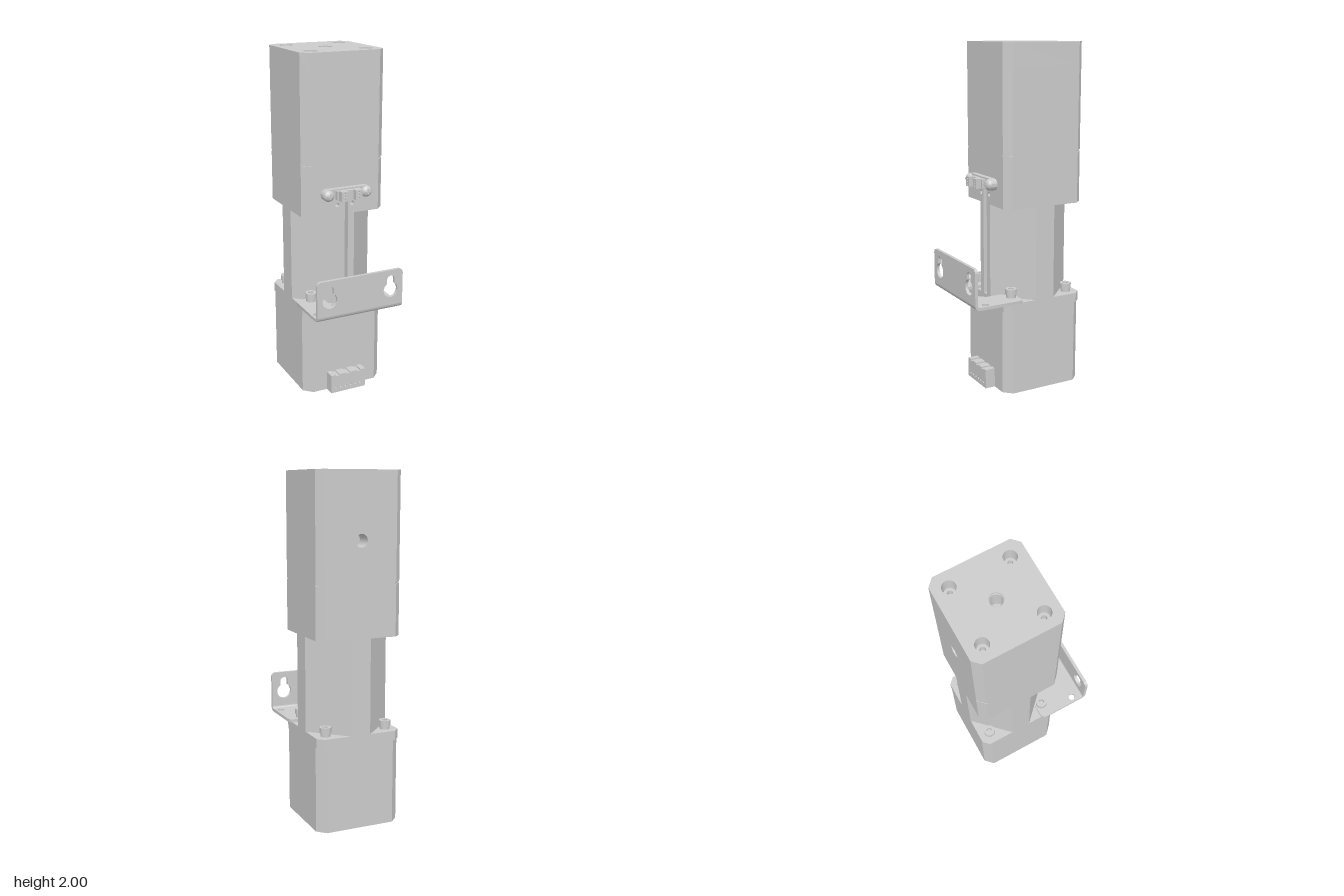
import * as THREE from 'three';
import { toCreasedNormals } from 'three/addons/utils/BufferGeometryUtils.js';

const mat = new THREE.MeshStandardMaterial({ color: 0xcccccc, side: THREE.DoubleSide });
const H = 0.2525, ZC = -0.1025, ZF = ZC + H, ZB = ZC - H; // body half width, centre, front, back

export function createModel() {
  const root = new THREE.Group();

  const add = (name, geo, x = 0, y = 0, z = 0, parent = root) => {
    const m = new THREE.Mesh(geo, mat);
    m.name = name;
    m.position.set(x, y, z);
    parent.add(m);
    return m;
  };
  const poly = pts => new THREE.Shape(pts.map(p => new THREE.Vector2(p[0], p[1])));
  const circle = (x, y, r) => new THREE.Path().absarc(x, y, r, 0, Math.PI * 2, false);
  const hexagon = r => new THREE.Path(Array.from({ length: 6 }, (_, i) =>
    new THREE.Vector2(r * Math.cos(i * Math.PI / 3), r * Math.sin(i * Math.PI / 3))));
  const box = (w, h, d) => new THREE.BoxGeometry(w, h, d);

  // Extrude a shape along z, with sharp edges and smooth round walls
  const slab = (shape, depth, holes = []) => {
    shape.holes.push(...holes);
    return toCreasedNormals(new THREE.ExtrudeGeometry(shape,
      { depth, bevelEnabled: false, curveSegments: 14 }), 0.6);
  };
  // Upright prism from a plan outline in [x, z]; holes are [x, z, r]
  const prism = (pts, h, holes = []) =>
    slab(poly(pts.map(([x, z]) => [x, -z])), h, holes.map(([x, z, r]) => circle(x, -z, r)))
      .rotateX(-Math.PI / 2);

  // Square plan with corner cuts c; optional [half width, depth] notches in front and back
  const plan = (c, front, back) => {
    const e = H - c, pts = [[e, ZF], [H, ZF - c], [H, ZB + c], [e, ZB]];
    if (back) pts.push([back[0], ZB], [back[0], ZB + back[1]], [-back[0], ZB + back[1]], [-back[0], ZB]);
    pts.push([-e, ZB], [-H, ZB + c], [-H, ZF - c], [-e, ZF]);
    if (front) pts.push([-front[0], ZF], [-front[0], ZF - front[1]], [front[0], ZF - front[1]], [front[0], ZF]);
    return pts.filter((p, i) => {
      const q = pts[(i + 1) % pts.length];
      return Math.hypot(p[0] - q[0], p[1] - q[1]) > 1e-6;
    });
  };
  const corners = d => [[d, ZC + d], [-d, ZC + d], [d, ZC - d], [-d, ZC - d]];

  // Motor housing with a bored underside
  add('motorBase', prism(plan(0.048), 0.03, [[0, ZC, 0.1], ...corners(0.19).map(p => [...p, 0.016])]));
  add('motorHousing', prism(plan(0.048), 0.46), 0, 0.03);
  add('motorTop', prism(plan(0.036), 0.055), 0, 0.49);
  add('bearingRing', prism([[0.01, ZC], [0, ZC + 0.01], [-0.01, ZC], [0, ZC - 0.01]], 0.02), 0, 0.01);
  add('bearingRing', new THREE.TorusGeometry(0.072, 0.012, 8, 32).rotateX(Math.PI / 2), 0, 0.02, ZC);
  add('shaftEnd', slab(new THREE.Shape().absarc(0, 0, 0.045, 0, Math.PI * 2), 0.022,
    [new THREE.Path([[-0.03, -0.007], [0.03, -0.007], [0.03, 0.007], [-0.03, 0.007]]
      .map(p => new THREE.Vector2(...p)))]).rotateX(-Math.PI / 2), 0, 0.008, ZC);

  // Waist with deep diagonal corner cuts and a front groove
  add('waist', prism(plan(0.193, [0.02, 0.04]), 0.545), 0, 0.545);

  // Upper housing, stacked so the holes are real recesses
  const c = 0.04, e = H - c;
  add('lowerCollar', prism(plan(c, [e, 0.04]), 0.1), 0, 1.09);
  add('collarFront', slab(poly([[-e, 0], [-0.02, 0], [-0.02, 0.09], [0.02, 0.09], [0.02, 0],
    [e, 0], [e, 0.1], [-e, 0.1]]), 0.04,
    [circle(-0.047, 0.057, 0.013), circle(0.047, 0.057, 0.013)]), 0, 1.09, ZF - 0.04);
  add('upperHousing', prism(plan(c), 0.196), 0, 1.19);
  add('seam', prism(plan(c + 0.008), 0.008), 0, 1.386);
  add('upperHousing', prism(plan(c), 0.106), 0, 1.394);
  add('portSection', prism(plan(c, null, [e, 0.1]), 0.25), 0, 1.5);
  add('portWall', slab(poly([[-e, 0], [e, 0], [e, 0.25], [-e, 0.25]]), 0.1,
    [circle(0, 0.125, 0.037)]), 0, 1.5, ZB);
  add('upperHousing', prism(plan(c), 0.12), 0, 1.75);
  const capHoles = corners(0.1665).map(p => [...p, 0.037]);
  add('topCap', prism(plan(c), 0.13, [[0, ZC, 0.038], ...capHoles]), 0, 1.87);
  add('topBore', new THREE.TorusGeometry(0.036, 0.003, 6, 28).rotateX(Math.PI / 2), 0, 1.99, ZC);

  // Socket head bolts: in the cap holes and on the motor flange
  const bolt = (name, x, y, z, r, h) => {
    const g = new THREE.Group();
    g.name = name;
    g.position.set(x, y, z);
    root.add(g);
    add('boltNeck', new THREE.CylinderGeometry(r * 0.85, r * 0.85, h * 0.4, 24), 0, h * 0.2, 0, g);
    add('boltHead', slab(new THREE.Shape().absarc(0, 0, r, 0, Math.PI * 2), h * 0.6,
      [hexagon(r * 0.55)]).rotateX(-Math.PI / 2), 0, h * 0.4, 0, g);
  };
  for (const [x, z] of corners(0.1665)) bolt('capBolt', x, 1.87, z, 0.031, 0.06);
  for (const [x, z] of corners(0.185)) bolt('flangeBolt', x, z > ZC ? 0.563 : 0.545, z, 0.033, 0.052);

  // Folded mounting bracket
  const bracket = new THREE.Group();
  bracket.name = 'mountingBracket';
  root.add(bracket);
  const half = [[0.27, 0.325], [0.27, 0.07], [0.262, 0.052], [0.244, 0.044], [0.176, 0.044],
    [0.11, 0.11], [0.11, 0.205], [0.067, 0.247]];
  const outline = [...half, ...half.map(([x, z]) => [-x, z]).reverse()];
  add('bracketFoot', prism(outline, 0.018, [[0.237, 0.276, 0.02], [-0.237, 0.276, 0.02]]),
    0, 0.545, 0, bracket);
  const bend = new THREE.Shape().absarc(0.325, 0.575, 0.03, -Math.PI / 2, 0, false);
  bend.absarc(0.325, 0.575, 0.012, 0, -Math.PI / 2, true);
  add('bracketBend', slab(bend, 0.54).rotateY(-Math.PI / 2), 0.27, 0, 0, bracket);
  const plate = new THREE.Shape().moveTo(-0.27, 0.575).lineTo(0.27, 0.575);
  plate.absarc(0.245, 0.76, 0.025, 0, Math.PI / 2, false);
  plate.absarc(-0.245, 0.76, 0.025, Math.PI / 2, Math.PI, false);
  const keyhole = x => new THREE.Path()
    .absarc(x, 0.728, 0.024, 0, Math.PI, false)
    .absarc(x, 0.665, 0.045, Math.PI - 1.008, 2 * Math.PI + 1.008, false);
  add('bracketPlate', slab(plate, 0.018, [keyhole(0.192), keyhole(-0.192)]), 0, 0, 0.337, bracket);

  // Sensor holder with two screws and two plug blocks
  const strip = new THREE.Shape().absarc(0.118, 0, 0.033, -Math.PI / 2, Math.PI / 2, false);
  strip.absarc(-0.118, 0, 0.033, Math.PI / 2, Math.PI * 1.5, false);
  add('sensorStrip', slab(strip, 0.033), 0, 1.217, ZF);
  add('sensorBody', box(0.15, 0.05, 0.025), 0, 1.217, 0.195);
  for (const s of [-1, 1]) {
    const dome = new THREE.SphereGeometry(0.033, 24, 8, 0, Math.PI * 2, 0, Math.PI / 2)
      .rotateX(Math.PI / 2).scale(1, 1, 0.82);
    add('sensorScrew', dome, s * 0.118, 1.217, 0.183);
    add('screwCross', box(0.034, 0.007, 0.006), s * 0.118, 1.217, 0.2075);
    add('screwCross', box(0.007, 0.034, 0.006), s * 0.118, 1.217, 0.2075);
    add('plugBlock', slab(poly([[-0.02, -0.028], [0.02, -0.028], [0.02, 0.028], [-0.02, 0.028]]), 0.035,
      [-1, 0, 1].map(i => circle(0, i * 0.016, 0.005))), s * 0.044, 1.217, 0.205);
  }

  // Cable connector at the foot, with a row of sockets and key slots along the top
  const top = [[0.1125, 0.115]];
  for (const x of [0.07, 0, -0.07])
    top.push([x + 0.012, 0.115], [x + 0.012, 0.107], [x - 0.012, 0.107], [x - 0.012, 0.115]);
  const sockets = Array.from({ length: 6 }, (_, i) => circle(-0.08 + i * 0.032, 0.03, 0.007));
  add('connector', slab(poly([[-0.1125, 0], [0.1125, 0], ...top, [-0.1125, 0.115]]), 0.06, sockets),
    -0.002, 0, ZF);

  return root;
}
